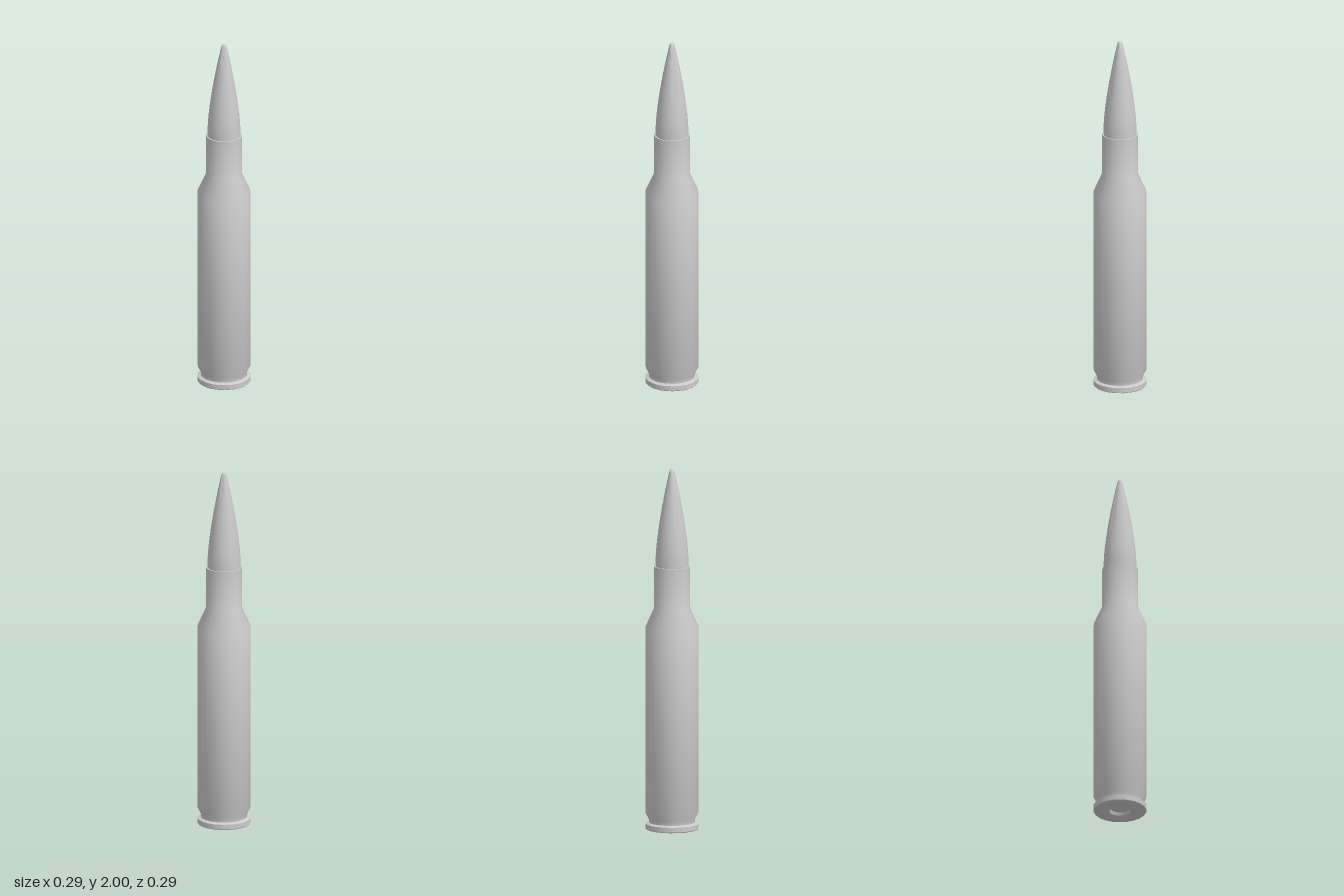
import * as THREE from 'three';
import { toCreasedNormals } from 'three/addons/utils/BufferGeometryUtils.js';

const SIDES = 22;
const material = new THREE.MeshStandardMaterial({ color: 0xcccccc });

// Turned part from [radius, height] pairs, listed from bottom to top
function turned(name, profile) {
  const points = profile.map(([r, y]) => new THREE.Vector2(r, y));
  const geometry = toCreasedNormals(new THREE.LatheGeometry(points, SIDES), 0.6);
  const mesh = new THREE.Mesh(geometry, material);
  mesh.name = name;
  return mesh;
}

export function createModel() {
  const group = new THREE.Group();
  group.name = 'cartridge';

  // Primer seated in a shallow pocket in the base
  group.add(turned('primer', [[0, 0.018], [0.052, 0.018]]));

  // Case: base, rim, extractor groove, body, shoulder, neck and lip
  group.add(turned('case', [
    [0.052, 0.018], [0.058, 0],
    [0.142, 0], [0.146, 0.004], [0.146, 0.031],
    [0.127, 0.038], [0.127, 0.056],
    [0.145, 0.09], [0.145, 1.125],
    [0.098, 1.23], [0.098, 1.458], [0.089, 1.458],
  ]));

  // Bullet: straight shank, curved ogive and small rounded tip
  const bullet = [[0.09, 1.44], [0.09, 1.5]];
  const steps = 12;
  for (let i = 1; i <= steps; i++) {
    const t = i / steps;
    bullet.push([0.09 - 0.074 * Math.pow(t, 1.45), 1.5 + 0.48 * t]);
  }
  bullet.push([0.012, 1.992], [0.006, 1.998], [0, 2]);
  group.add(turned('bullet', bullet));

  return group;
}
